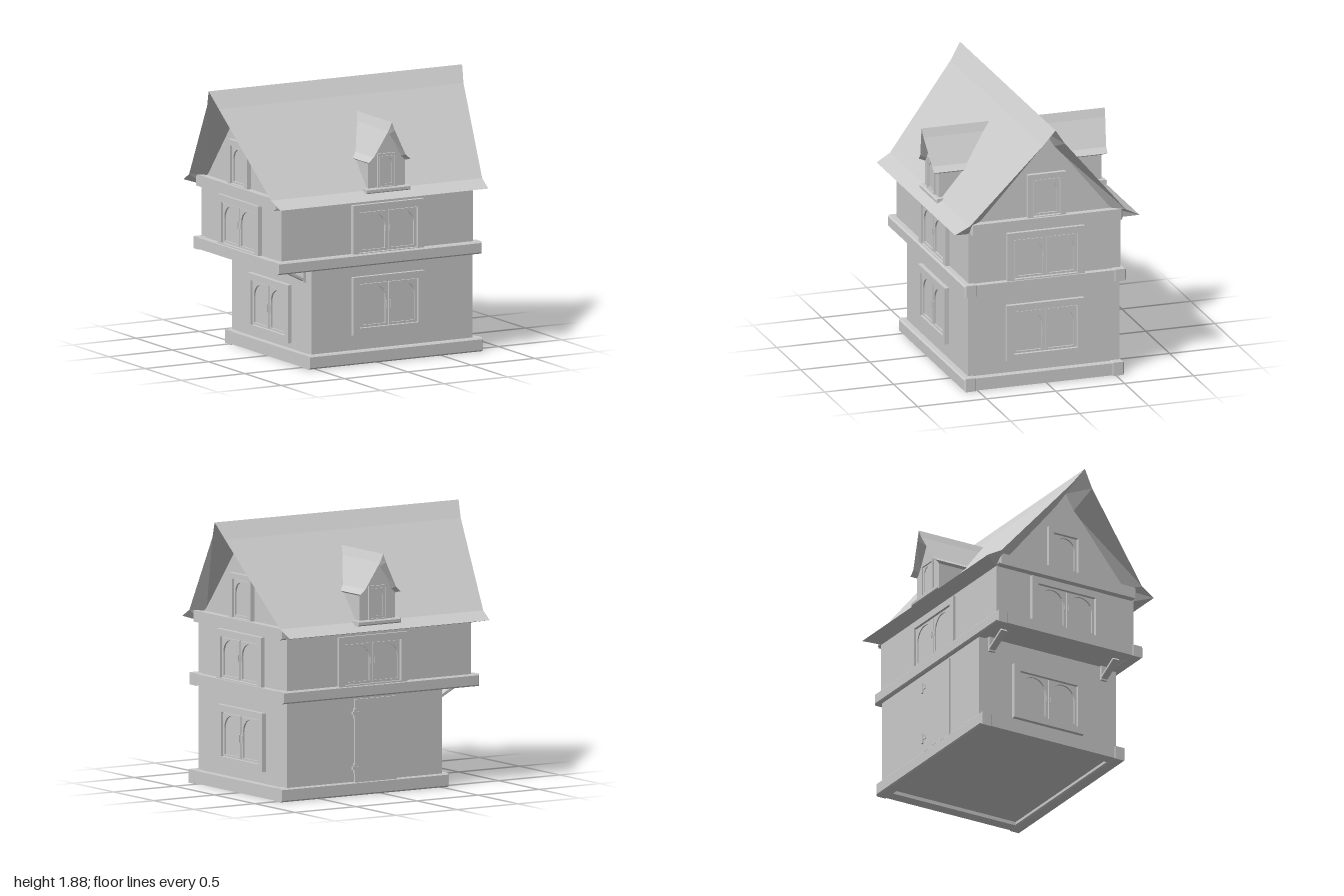
import * as THREE from 'three';

const material = new THREE.MeshStandardMaterial({ color: 0xcccccc, flatShading: true });

function mesh(name, geometry, x = 0, y = 0, z = 0) {
  const m = new THREE.Mesh(geometry, material);
  m.name = name;
  m.position.set(x, y, z);
  return m;
}

// Box given by its limits
function block(name, x0, x1, y0, y1, z0, z1) {
  return mesh(name, new THREE.BoxGeometry(x1 - x0, y1 - y0, z1 - z0), (x0 + x1) / 2, (y0 + y1) / 2, (z0 + z1) / 2);
}

// Timber with chamfered long edges, given by its limits
function beam(name, x0, x1, y0, y1, z0, z1, c = 0.01) {
  const w = x1 - x0 - 2 * c, h = y1 - y0 - 2 * c;
  const s = rect(-w / 2, w / 2, -h / 2, h / 2);
  const g = new THREE.ExtrudeGeometry(s, { depth: z1 - z0 - 2 * c, bevelThickness: c, bevelSize: c, bevelSegments: 1 });
  return mesh(name, g, (x0 + x1) / 2, (y0 + y1) / 2, z0 + c);
}

function rect(x0, x1, y0, y1) {
  return new THREE.Shape([[x0, y0], [x1, y0], [x1, y1], [x0, y1]].map(p => new THREE.Vector2(...p)));
}

const extrude = (shape, depth) => new THREE.ExtrudeGeometry(shape, { depth, bevelEnabled: false, curveSegments: 6 });

// Rectangle of four timbers around the house
function beamRing(name, x0, x1, y0, y1, z0, z1, t) {
  const g = new THREE.Group();
  g.name = name;
  g.add(
    beam('frontBeam', x0, x1, y0, y1, z1 - t, z1),
    beam('backBeam', x0, x1, y0, y1, z0, z0 + t),
    beam('leftBeam', x1 - t, x1 - 0.004, y0 + 0.004, y1 - 0.004, z0 + 0.03, z1 - 0.03),
    beam('rightBeam', x0 + 0.004, x0 + t, y0 + 0.004, y1 - 0.004, z0 + 0.03, z1 - 0.03));
  return g;
}

// Window facing +z, origin at the bottom centre: frame, arched sashes, glass and latches
function windowUnit(name, w, h, rail, bottom, panes, depth) {
  const g = new THREE.Group();
  g.name = name;
  const iw = w - 2 * rail, top = h - rail;
  const frame = rect(-w / 2, w / 2, 0, h);
  frame.holes.push(rect(-iw / 2, iw / 2, bottom, top));
  g.add(mesh('windowFrame', extrude(frame, depth)));
  const sw = iw / panes, m = Math.min(0.018, sw * 0.14);
  for (let i = 0; i < panes; i++) {
    const x = -iw / 2 + sw * (i + 0.5), r = sw / 2 - m - 0.006;
    const sash = rect(-sw / 2 + 0.006, sw / 2 - 0.006, bottom + 0.006, top - 0.006);
    const arch = new THREE.Path();
    arch.moveTo(-r, bottom + m);
    arch.lineTo(r, bottom + m);
    arch.lineTo(r, top - m - r);
    arch.absarc(0, top - m - r, r, 0, Math.PI);
    arch.closePath();
    sash.holes.push(arch);
    g.add(mesh('sash', extrude(sash, depth * 0.6), x));
    if (panes > 1) {
      const lx = x + (i ? -1 : 1) * (sw / 2 - 0.016);
      g.add(block('latch', lx - 0.004, lx + 0.004, h * 0.42, h * 0.55, 0, depth * 0.85));
    }
  }
  g.add(block('glass', -iw / 2, iw / 2, bottom, top, -0.002, depth * 0.2));
  return g;
}

function place(obj, x, y, z, turn) {
  obj.position.set(x, y, z);
  obj.rotation.y = turn;
  return obj;
}

// Mirror a half profile (ridge first) into a full one running from -u to +u
const mirrorProfile = half => [...half.slice(1).reverse().map(([u, ...rest]) => [-u, ...rest]), ...half];
function fullProfile(half) {
  return [...half.slice(1).reverse().map(([u, ...rest]) => [-u, ...rest]), ...half];
}

// Roof with its ridge along x; points are [z, y, xLow, xHigh] for the outer skin and the soffit line
function roofGeometry(outerHalf, innerHalf) {
  const outer = fullProfile(outerHalf), inner = fullProfile(innerHalf), pos = [];
  const rows = outer.map(([z, y, lo, hi], i) => {
    const [iz, iy, ilo, ihi] = inner[i];
    return [[ilo, iy, iz], [lo, y, z], [hi, y, z], [ihi, iy, iz]];
  });
  const quad = (a, b, c, d) => pos.push(...a, ...b, ...c, ...a, ...c, ...d);
  for (let i = 0; i + 1 < rows.length; i++) {
    for (let j = 0; j < 4; j++) {
      const k = (j + 1) % 4;
      quad(rows[i][j], rows[i + 1][j], rows[i + 1][k], rows[i][k]);
    }
  }
  quad(...rows[0]);
  quad(...[...rows[rows.length - 1]].reverse());
  const g = new THREE.BufferGeometry();
  g.setAttribute('position', new THREE.Float32BufferAttribute(pos, 3));
  g.computeVertexNormals();
  return g;
}

// Wall outline with a gable, from a half profile listed ridge first
function gableShape(half) {
  return new THREE.Shape(mirrorProfile(half).map(([u, y]) => new THREE.Vector2(u, y)));
}

// Dormer facing +z
function dormer(name) {
  const g = new THREE.Group();
  g.name = name;
  const roof = roofGeometry(
    [[0, 1.675, 0.12, 0.65], [0.025, 1.615, 0.17, 0.645], [0.125, 1.435, 0.3, 0.617], [0.165, 1.4, 0.33, 0.615]],
    [[0, 1.635, 0.12, 0.565], [0.022, 1.575, 0.17, 0.565], [0.112, 1.415, 0.3, 0.565], [0.14, 1.385, 0.33, 0.565]]);
  roof.rotateY(-Math.PI / 2);
  g.add(mesh('dormerRoof', roof));
  const wall = gableShape([[0, 1.65], [0.023, 1.59], [0.118, 1.42], [0.145, 1.395], [0.145, 1.19]]);
  g.add(mesh('dormerWall', extrude(wall, 0.375), 0, 0, 0.2));
  g.add(beam('dormerSill', -0.178, 0.178, 1.18, 1.215, 0.5, 0.605, 0.008));
  g.add(place(windowUnit('dormerWindow', 0.15, 0.24, 0.014, 0.012, 1, 0.014), 0, 1.21, 0.573, 0));
  return g;
}

export function createModel() {
  const house = new THREE.Group();
  house.name = 'house';
  const Q = Math.PI / 2;

  // Ground floor on a timber plinth
  house.add(beamRing('plinth', -0.555, 0.825, 0, 0.095, -0.56, 0.6, 0.09));
  house.add(block('groundFloorWalls', -0.505, 0.765, 0.03, 0.71, -0.545, 0.555));

  // Overhanging upper floor with gables
  house.add(beamRing('floorBeams', -0.795, 0.82, 0.68, 0.765, -0.575, 0.595, 0.09));
  const walls = extrude(gableShape([[0, 1.83], [0.075, 1.71], [0.49, 1.205], [0.55, 1.145], [0.55, 0.69]]), 1.51);
  walls.rotateY(Q);
  house.add(mesh('upperFloorWalls', walls, -0.74));
  house.add(beam('leftGableBeam', 0.74, 0.82, 1.12, 1.2, -0.55, 0.545));
  house.add(beam('rightGableBeam', -0.79, -0.71, 1.12, 1.2, -0.55, 0.545));

  // Struts below the overhang
  for (const z of [-0.45, 0.45]) {
    const strut = beam('overhangStrut', -0.1, 0.1, -0.012, 0.012, -0.025, 0.025, 0.004);
    strut.position.set(-0.59, 0.642, z - 0.021);
    strut.rotation.z = -0.48;
    house.add(strut, block('strutPlate', -0.525, -0.5, 0.585, 0.69, z - 0.025, z + 0.025));
  }

  // Flared main roof
  house.add(mesh('mainRoof', roofGeometry(
    [[0, 1.885, -1, 1], [0.08, 1.77, -0.965, 0.965], [0.565, 1.2, -0.83, 0.835], [0.668, 1.145, -0.815, 0.825]],
    [[0, 1.8, -0.73, 0.76], [0.07, 1.685, -0.73, 0.76], [0.465, 1.2, -0.73, 0.76], [0.54, 1.12, -0.73, 0.76]])));

  // Dormers on both slopes
  house.add(place(dormer('frontDormer'), 0.075, 0, 0, 0));
  house.add(place(dormer('backDormer'), 0.065, 0, -0.03, Math.PI));

  // Ground floor windows
  const lower = name => windowUnit(name, 0.56, 0.405, 0.048, 0.048, 2, 0.03);
  house.add(place(lower('frontLowerWindow'), 0.09, 0.2, 0.555, 0));
  house.add(place(lower('leftLowerWindow'), 0.765, 0.175, 0, Q));
  house.add(place(lower('rightLowerWindow'), -0.505, 0.13, 0, -Q));

  // Upper floor windows
  const upper = name => windowUnit(name, 0.56, 0.345, 0.05, 0.01, 2, 0.03);
  house.add(place(upper('frontUpperWindow'), 0.09, 0.76, 0.55, 0));
  house.add(place(upper('backUpperWindow'), 0.075, 0.76, -0.54, Math.PI));
  house.add(place(upper('leftUpperWindow'), 0.775, 0.76, 0, Q));
  house.add(place(upper('rightUpperWindow'), -0.74, 0.76, 0, -Q));

  // Gable windows
  const attic = name => windowUnit(name, 0.275, 0.315, 0.04, 0.01, 1, 0.03);
  house.add(place(attic('leftGableWindow'), 0.77, 1.195, -0.008, Q));
  house.add(place(attic('rightGableWindow'), -0.74, 1.195, -0.008, -Q));

  // Back door with hinges and handle
  house.add(block('door', -0.13, 0.215, 0.09, 0.665, -0.556, -0.54));
  for (const y of [0.19, 0.57]) {
    house.add(block('hingePlate', 0.17, 0.235, y - 0.012, y + 0.012, -0.562, -0.54));
    house.add(block('hingePin', 0.205, 0.225, y - 0.035, y + 0.035, -0.564, -0.54));
  }
  return house;
}
